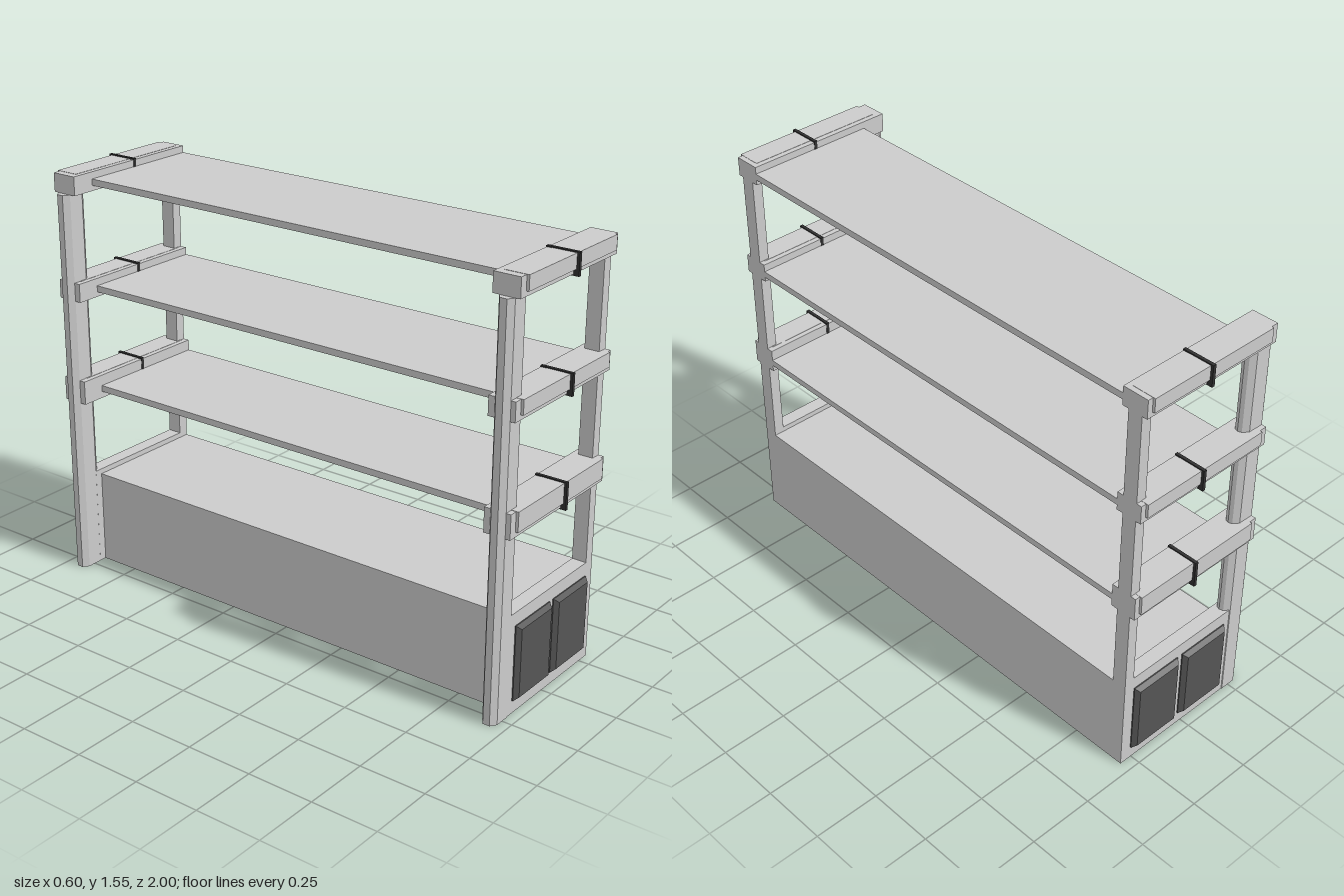
import * as THREE from 'three';

export function createModel() {
  const model = new THREE.Group();
  const grey = new THREE.MeshStandardMaterial({ color: 0xcccccc, flatShading: true });
  const dark = new THREE.MeshStandardMaterial({ color: 0x555555, flatShading: true });
  const black = new THREE.MeshStandardMaterial({ color: 0x303030, flatShading: true });

  function add(parent, name, geometry, material) {
    const mesh = new THREE.Mesh(geometry, material);
    mesh.name = name;
    parent.add(mesh);
    return mesh;
  }
  // Box given by its limits on each axis
  function box(parent, name, [x0, x1], [y0, y1], [z0, z1], material = grey) {
    const mesh = add(parent, name, new THREE.BoxGeometry(x1 - x0, y1 - y0, z1 - z0), material);
    mesh.position.set((x0 + x1) / 2, (y0 + y1) / 2, (z0 + z1) / 2);
    return mesh;
  }

  // Base and shelves
  box(model, 'base', [-0.19, 0.3], [0, 0.36], [-0.91, 0.91]);
  const levels = [[0.68, 0.77, 0.705], [1.08, 1.15, 1.098], [1.48, 1.55, 1.5]];
  for (const [, , y] of levels) {
    box(model, 'shelf', [-0.19, 0.3], [y, y + 0.024], [-0.885, 0.885]);
  }

  // Bevelled post profile, seen from above (x, z offset from the post centre)
  const postShape = new THREE.Shape([
    [-0.302, -0.013], [-0.28, -0.029], [-0.22, -0.029], [-0.2, -0.014], [-0.195, 0],
    [-0.2, 0.014], [-0.22, 0.029], [-0.28, 0.029], [-0.302, 0.013],
  ].map(([x, z]) => new THREE.Vector2(x, z)));

  function endFrame() {
    const frame = new THREE.Group();
    frame.name = 'endFrame';

    // Lower panel and posts
    box(frame, 'endPanel', [-0.28, 0.3], [0, 0.38], [0.905, 0.96]);
    box(frame, 'squarePost', [0.26, 0.3], [0.38, 1.49], [0.905, 0.96]);
    const post = add(frame, 'bevelledPost',
      new THREE.ExtrudeGeometry(postShape, { depth: 1.48, bevelEnabled: false }), grey);
    post.rotation.x = -Math.PI / 2;
    post.position.z = 0.933;

    // Raised inset panels with sloping edges
    for (const x of [-0.085, 0.15]) {
      const w = 0.093, h = 0.128;
      const shape = new THREE.Shape([
        new THREE.Vector2(-w, -h), new THREE.Vector2(w, -h),
        new THREE.Vector2(w, h), new THREE.Vector2(-w, h),
      ]);
      const panel = add(frame, 'insetPanel', new THREE.ExtrudeGeometry(shape, {
        depth: 0.004, bevelThickness: 0.016, bevelSize: 0.013, bevelSegments: 1,
      }), dark);
      panel.position.set(x, 0.19, 0.96);
    }

    // Crossbars with a raised face and a dark strap
    for (const [y0, y1] of levels) {
      box(frame, 'crossbar', [-0.28, 0.3], [y0, y1], [0.88, 0.98]);
      box(frame, 'crossbarFace', [-0.25, 0.28], [y0 + 0.018, y1 + 0.001], [0.9, 0.99]);
      box(frame, 'strap', [0.027, 0.039], [y0 - 0.005, y1 + 0.005], [0.878, 1], black);
    }
    return frame;
  }

  // Mirrored end frames, front and back
  const front = endFrame();
  const back = endFrame();
  back.scale.z = -1;
  model.add(front, back);
  return model;
}
